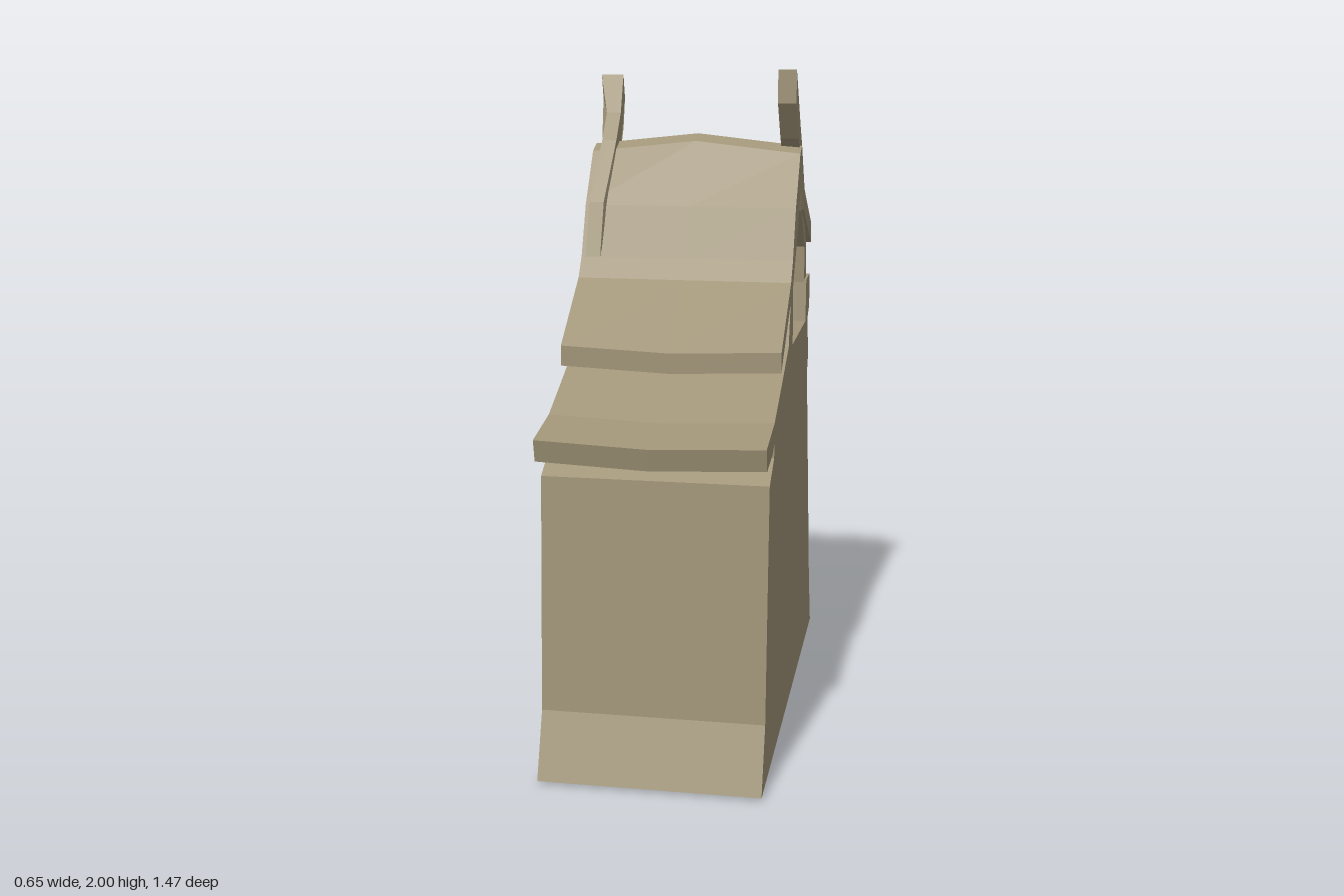
import * as THREE from 'three';

const W = 0.325; // half width of the house

const stone = new THREE.MeshStandardMaterial({ color: 0xa09478, side: THREE.DoubleSide });
stone.name = 'weathered stone';

// Extrude a side profile of [z, y] points between x0 and x1; warp moves each vertex.
function slab(name, profile, x0, x1, { warp, open = false } = {}) {
  const shape = new THREE.Shape(profile.map(([z, y]) => new THREE.Vector2(z, y)));
  let geo = new THREE.ExtrudeGeometry(shape, { depth: x1 - x0, steps: 2, bevelEnabled: false });
  geo.rotateY(-Math.PI / 2);
  geo.translate(x1, 0, 0);
  if (geo.index) geo = geo.toNonIndexed();
  const pos = geo.attributes.position;
  const v = new THREE.Vector3();
  const out = [];
  for (let i = 0; i < pos.count; i += 3) {
    // leave out the floor of an open shell
    if (open && [0, 1, 2].every((k) => pos.getY(i + k) < 0.015)) continue;
    for (let k = 0; k < 3; k++) {
      v.fromBufferAttribute(pos, i + k);
      if (warp) warp(v);
      out.push(v.x, v.y, v.z);
    }
  }
  const result = new THREE.BufferGeometry();
  result.setAttribute('position', new THREE.Float32BufferAttribute(out, 3));
  result.computeVertexNormals(); // unshared corners keep the facets flat
  const mesh = new THREE.Mesh(result, stone);
  mesh.name = name;
  return mesh;
}

export function createModel() {
  const model = new THREE.Group();
  model.name = 'roofedTower';

  // Tapered hollow body with the front wall of the loft
  model.add(slab('body', [
    [0.735, 0.01], [0.665, 0.2], [0.62, 0.89], [0.52, 0.945], [0.52, 1.035],
    [0.35, 1.105], [0.175, 1.19], [0.13, 1.33], [0.07, 1.38], [0.06, 1.18],
    [-0.34, 1.18], [-0.4, 1.18], [-0.42, 0.99], [-0.62, 0.2], [-0.69, 0.01],
  ], -W, W, { open: true }));

  // Lower roof with its front eave pushed out in the middle
  model.add(slab('lowerRoof', [
    [0.7, 1.015], [0.52, 1.045], [0.35, 1.115], [0.17, 1.195],
    [0.3, 1.08], [0.52, 0.985], [0.56, 0.965], [0.685, 0.95],
  ], -W, W, {
    warp: (v) => {
      const mid = 1 - Math.abs(v.x) / W;
      if (v.z > 0.5) v.z += 0.02 * mid;
      if (v.z > 0.45) v.y -= 0.008 * mid;
    },
  }));

  // Upper roof: long curved front slope, ridge, shorter back slope
  model.add(slab('upperRoof', [
    [0.365, 1.215], [0.13, 1.38], [0.085, 1.44], [0.02, 1.59], [-0.09, 1.745], [-0.14, 1.765],
    [-0.24, 1.62], [-0.485, 1.485], [-0.485, 1.42], [-0.22, 1.56], [-0.14, 1.68],
    [-0.03, 1.49], [0.07, 1.36], [0.14, 1.315], [0.365, 1.155],
  ], -W, W, {
    warp: (v) => {
      const mid = 1 - Math.abs(v.x) / W;
      if (v.z > 0.3) { v.z += 0.015 * mid; v.y -= 0.01 * mid; }
      if (v.y > 1.65) v.y += 0.035 * mid;
    },
  }));

  // Crossed ridge boards: one carries on the front slope, one the back slope
  model.add(slab('rightRidgeBoard', [
    [0.095, 1.44], [0.035, 1.6], [-0.09, 1.78], [-0.16, 1.86], [-0.23, 1.975],
    [-0.25, 1.9], [-0.2, 1.81], [-0.14, 1.72], [-0.02, 1.54],
  ], -0.31, -0.265, {
    warp: (v) => {
      if (v.y > 1.88) v.x += v.x < -0.29 ? -0.015 : 0.01;
      else if (v.y > 1.7) v.x += 0.015;
    },
  }));
  model.add(slab('leftRidgeBoard', [
    [-0.32, 1.57], [-0.25, 1.6], [-0.19, 1.7], [-0.1, 1.79], [-0.02, 1.9],
    [-0.02, 2.0], [-0.15, 1.83], [-0.21, 1.76], [-0.25, 1.65],
  ], 0.262, 0.318));

  // Bent strut holding the back slope on one side
  model.add(slab('backStrut', [
    [-0.18, 1.62], [-0.22, 1.555], [-0.335, 1.425], [-0.345, 1.3], [-0.41, 1.3],
    [-0.375, 1.45], [-0.3, 1.55],
  ], 0.262, 0.318));

  // Back parapet: cap, recessed panel and sill
  model.add(slab('backParapet', [
    [-0.335, 1.17], [-0.345, 1.315], [-0.445, 1.32], [-0.465, 1.28], [-0.455, 1.21],
    [-0.41, 1.18], [-0.445, 1.04], [-0.425, 1.0], [-0.39, 0.99],
  ], -W, W));

  // Sloping buttress up the middle of the back, narrower on its outer face
  model.add(slab('backButtress', [
    [-0.68, 0], [-0.735, 0.02], [-0.69, 0.22], [-0.63, 0.55], [-0.57, 0.87], [-0.56, 1.02],
    [-0.515, 1.19], [-0.46, 1.2], [-0.4, 1.18], [-0.4, 0.99], [-0.6, 0.2],
  ], -0.15, 0.15, {
    warp: (v) => {
      const wall = -0.68 + 0.26 * Math.min(v.y, 1);
      const outer = v.z < wall - 0.02;
      v.x *= (outer ? 0.82 : 1) - 0.08 * v.y;
      if (outer && Math.abs(v.x) < 0.01) v.z += 0.01;
    },
  }));

  return model;
}
